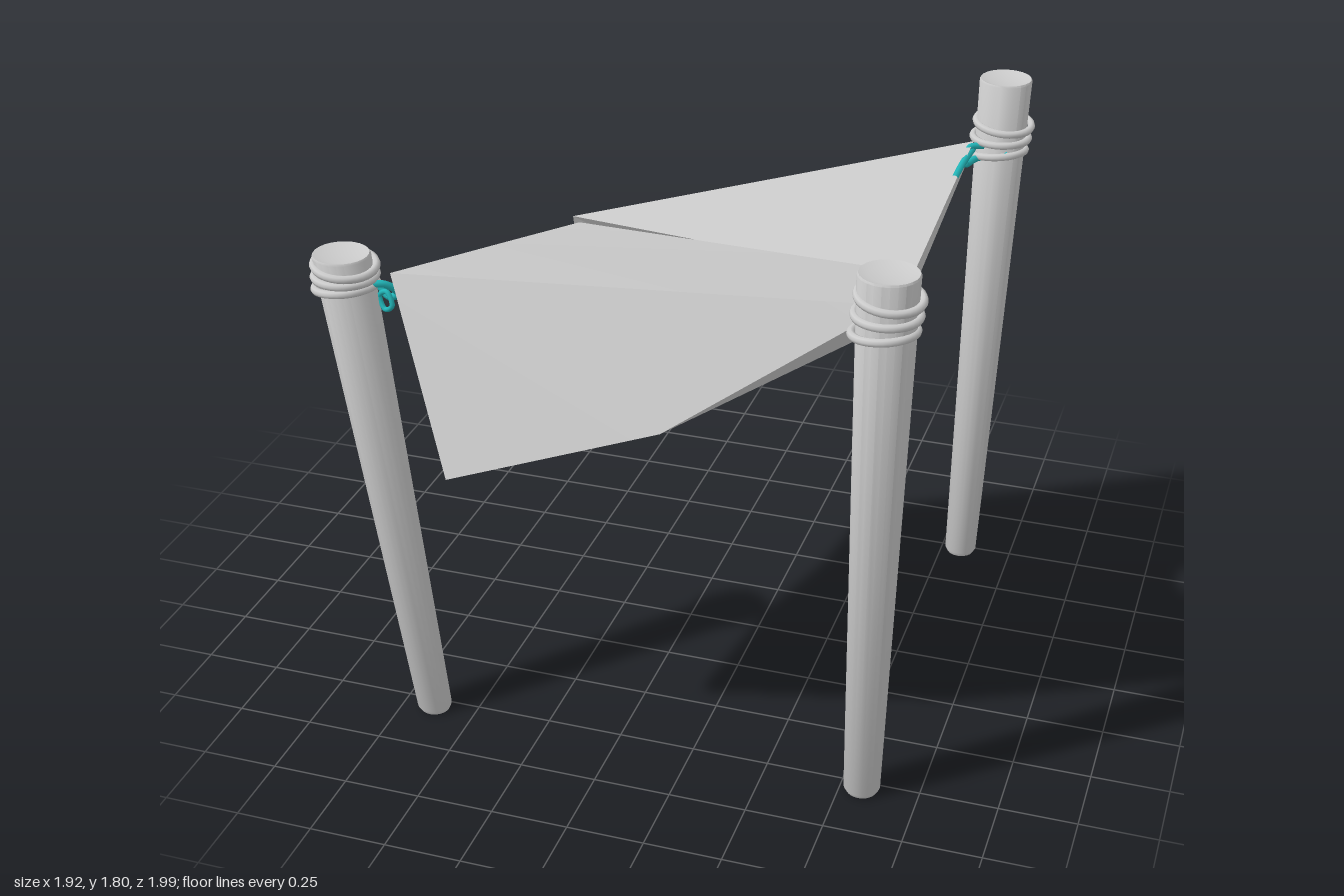
import * as THREE from 'three';
import { toCreasedNormals } from 'three/addons/utils/BufferGeometryUtils.js';

const V = (x, y, z) => new THREE.Vector3(x, y, z);
const grey = new THREE.MeshStandardMaterial({ color: 0xcccccc });
const cloth = new THREE.MeshStandardMaterial({ color: 0xcccccc, side: THREE.DoubleSide });
const teal = new THREE.MeshStandardMaterial({ color: 0x22b5b8 });
const pale = new THREE.MeshStandardMaterial({ color: 0xb4d2d1, side: THREE.DoubleSide });

function mesh(name, geometry, material) {
  const m = new THREE.Mesh(geometry, material);
  m.name = name;
  return m;
}

// Cloth panels, each a convex loop of corners; gentle bends are shaded smooth
function panels(name, loops, material = cloth) {
  const pos = [];
  for (const l of loops)
    for (let i = 1; i < l.length - 1; i++)
      for (const p of [l[0], l[i], l[i + 1]]) pos.push(p.x, p.y, p.z);
  const g = new THREE.BufferGeometry();
  g.setAttribute('position', new THREE.Float32BufferAttribute(pos, 3));
  return mesh(name, toCreasedNormals(g, 0.8), material);
}

function rope(name, points, radius, material, closed = false) {
  const curve = new THREE.CatmullRomCurve3(points, closed);
  return mesh(name, new THREE.TubeGeometry(curve, 32, radius, 8, closed), material);
}

// Tapered post, sheared so both ends stay level, with a slightly dished top
function post(name, foot, head, rFoot, rHead) {
  const h = head.y;
  const profile = [[0, 0], [rFoot * 0.85, 0], [rFoot, 0.015], [rHead, h - 0.006], [rHead * 0.96, h],
    [rHead * 0.65, h - 0.008], [0, h - 0.008]].map(([r, y]) => new THREE.Vector2(r, y));
  const g = new THREE.LatheGeometry(profile, 24);
  const p = g.attributes.position;
  for (let i = 0; i < p.count; i++) {
    const t = p.getY(i) / h;
    p.setX(i, p.getX(i) + foot.x + (head.x - foot.x) * t);
    p.setZ(i, p.getZ(i) + foot.z + (head.z - foot.z) * t);
  }
  return mesh(name, toCreasedNormals(g, 0.6), grey);
}

// Three uneven turns of rope around a post
function lashing(name, foot, head, yLow, yHigh) {
  const g = new THREE.Group();
  g.name = name;
  for (let i = 0; i < 3; i++) {
    const y = yLow + (yHigh - yLow) * i / 2;
    const c = foot.clone().lerp(head, y / head.y);
    const ring = mesh('ropeTurn', new THREE.TorusGeometry(0.095, 0.013, 8, 32), grey);
    ring.position.set(c.x + 0.006 * (i - 1), y, c.z);
    ring.rotation.set(Math.PI / 2 + 0.08 * (i - 1), 0.1 * (1 - i), 0);
    g.add(ring);
  }
  return g;
}

export function createModel() {
  const model = new THREE.Group();
  model.name = 'lashedCanopy';

  // Posts with their rope lashings
  const posts = [
    ['frontRightPost', V(-0.64, 0, 0.79), V(-0.865, 1.62, 0.78), 0.056, 0.09, 1.515, 1.585],
    ['frontLeftPost', V(0.82, 0, 0.785), V(0.836, 1.8, 0.79), 0.058, 0.092, 1.615, 1.725],
    ['backLeftPost', V(0.82, 0, -0.725), V(0.842, 1.79, -0.905), 0.056, 0.09, 1.535, 1.635],
  ];
  for (const [name, foot, head, r0, r1, y0, y1] of posts) {
    model.add(post(name, foot, head, r0, r1));
    model.add(lashing(name + 'Lashing', foot, head, y0, y1));
  }

  // Corners of the upper cloth layer
  const a = V(-0.72, 1.56, 0.75), b = V(0.83, 1.66, 0.71), c = V(0.76, 1.585, -0.81);
  const mid = V(-0.56, 1.48, 0.28);
  const creaseR = V(-0.41, 1.435, -0.06), creaseL = V(0.68, 1.435, -0.01);
  const backR = V(-0.44, 1.445, -0.08), backL = V(0.73, 1.405, -0.01);
  // Corners of the lower cloth layer
  const a2 = V(-0.67, 1.46, 0.69), b2 = V(0.79, 1.565, 0.68), c2 = V(0.75, 1.53, -0.79);
  const mid2 = V(-0.51, 1.385, 0.28);
  const lowR = V(-0.42, 1.31, -0.07), lowL = V(0.73, 1.34, 0), lowFront = V(0.68, 1.34, 0);
  const drop = V(-0.25, 1.245, -0.29), drop2 = V(-0.24, 1.245, -0.23);

  model.add(panels('frontPanel', [[mid, a, b, creaseL, creaseR]]));
  model.add(panels('frontPanelUnderside', [[mid2, a2, b2, lowFront, lowR]]));
  model.add(panels('frontPanelEdges', [
    [a, mid, mid2, a2], [mid, creaseR, lowR, mid2], [b, b2, lowFront, creaseL]]));
  model.add(panels('backPanel', [[backR, backL, c], [backR, c, drop]]));
  model.add(panels('backPanelUnderside', [[lowR, drop2, lowL], [drop2, c2, lowL]]));
  model.add(panels('backPanelEdges', [
    [backL, lowL, c2, c], [backR, drop, lowR], [lowR, drop, drop2], [drop, c, c2, drop2]]));

  // Front flap, hanging down and outwards in two layers
  const f1 = V(-0.46, 1.015, 0.995), f2 = V(0.2, 1.245, 0.92);
  const g1 = V(-0.46, 1.02, 0.915), g2 = V(0.2, 1.25, 0.875);
  model.add(panels('frontFlap', [[a, f1, f2], [a, f2, b]]));
  model.add(panels('frontFlapLining', [[a2, g2, g1], [a2, b2, g2]]));
  model.add(panels('frontFlapHem', [[a, a2, g1, f1], [f1, g1, g2, f2], [f2, g2, b2, b]]));

  // Pale patch near the front left corner
  model.add(panels('clothPatch', [
    [V(0.68, 1.582, 0.47), V(0.755, 1.567, 0.4), V(0.785, 1.602, 0.51)]], pale));

  // Coloured ties between the cloth corners and the posts
  const ties = [
    [V(-0.79, 1.53, 0.8), V(-0.73, 1.53, 0.77), V(-0.7, 1.49, 0.74), V(-0.74, 1.47, 0.73), V(-0.78, 1.51, 0.72)],
    [V(0.8, 1.65, 0.7), V(0.79, 1.67, 0.66), V(0.82, 1.63, 0.67), V(0.86, 1.6, 0.69)],
    [V(0.8, 1.57, -0.82), V(0.75, 1.57, -0.78), V(0.75, 1.53, -0.73), V(0.78, 1.53, -0.8), V(0.88, 1.55, -0.81)],
  ];
  for (const t of ties) model.add(rope('cornerTie', t, 0.012, teal));
  model.add(rope('backTieStrand', [V(0.76, 1.56, -0.8), V(0.75, 1.55, -0.68), V(0.745, 1.535, -0.58)], 0.012, teal));
  model.add(rope('frontTieLoop', [V(-0.73, 1.5, 0.76), V(-0.71, 1.46, 0.77), V(-0.74, 1.44, 0.76),
    V(-0.76, 1.48, 0.75)], 0.008, teal, true));
  return model;
}
